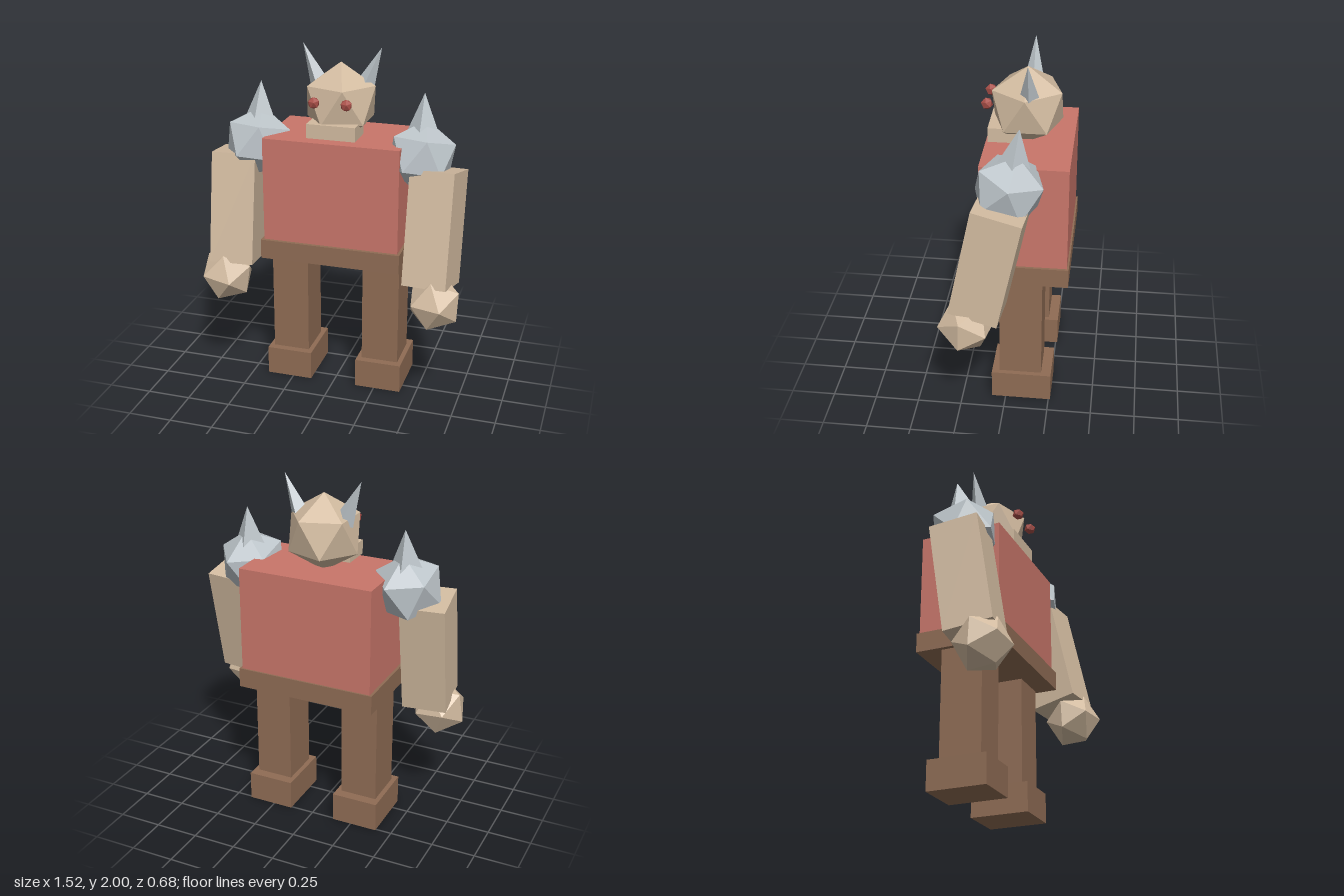
import * as THREE from 'three';

const paint = (name, color) => {
  const m = new THREE.MeshStandardMaterial({ color });
  m.name = name;
  return m;
};

// Orthonormal frame from a direction and a neighbouring direction
function frame(a, b) {
  const x = a.clone().normalize();
  const z = x.clone().cross(b).normalize();
  return new THREE.Matrix4().makeBasis(x, z.clone().cross(x), z);
}

export function createModel() {
  const model = new THREE.Group();
  const skin = paint('skin', 0xd2bba0);
  const red = paint('red tunic', 0xc9766a);
  const brown = paint('brown leather', 0x8f6c54);
  const steel = paint('steel', 0xbdc5ca);
  const eyeRed = paint('eye red', 0xa84e47);

  const add = (name, geometry, material, x, y, z) => {
    const mesh = new THREE.Mesh(geometry, material);
    mesh.name = name;
    mesh.position.set(x, y, z);
    model.add(mesh);
    return mesh;
  };
  const box = (name, material, size, pos) =>
    add(name, new THREE.BoxGeometry(...size), material, ...pos);

  // Icosahedron with one corner along v1 and an adjacent corner leaning to v2
  const rock = (name, material, r, pos, v1, v2) => {
    const t = (1 + Math.sqrt(5)) / 2;
    const from = frame(new THREE.Vector3(-1, t, 0), new THREE.Vector3(1, t, 0));
    const to = frame(new THREE.Vector3(...v1), new THREE.Vector3(...v2));
    const g = new THREE.IcosahedronGeometry(r, 0);
    g.applyMatrix4(to.multiply(from.transpose()));
    return add(name, g, material, ...pos);
  };

  // Four-sided faceted spike from its base centre to its tip
  const spike = (name, r, base, tip) => {
    const a = new THREE.Vector3(...base);
    const d = new THREE.Vector3(...tip).sub(a);
    const h = d.length();
    const g = new THREE.ConeGeometry(r, h, 4).toNonIndexed();
    g.computeVertexNormals();
    g.translate(0, h / 2, 0);
    const mesh = add(name, g, steel, ...base);
    mesh.quaternion.setFromUnitVectors(new THREE.Vector3(0, 1, 0), d.normalize());
  };

  // Body
  box('torso', red, [0.78, 0.61, 0.475], [0, 1.197, -0.098]);
  box('belt', brown, [0.81, 0.112, 0.505], [0, 0.848, -0.093]);

  // Head and jaw
  rock('head', skin, 0.22, [0, 1.69, -0.08], [0, 1, 0], [1, 0, 0]);
  box('jaw', skin, [0.276, 0.08, 0.17], [0, 1.562, 0.038]);

  for (const s of [-1, 1]) {
    const side = s > 0 ? 'left' : 'right';

    // Face details and horns
    rock(side + 'Eye', eyeRed, 0.034, [s * 0.091, 1.725, 0.13], [0, 1, 0.2], [1, 0, 0]);
    spike(side + 'Horn', 0.058, [s * 0.125, 1.765, -0.1], [s * 0.224, 1.998, -0.1]);

    // Legs and feet
    box(side + 'Leg', brown, [0.215, 0.64, 0.24], [s * 0.272, 0.478, -0.083]);
    box(side + 'Foot', brown, [0.27, 0.17, 0.34], [s * 0.272, 0.085, -0.09]);

    // Shoulder armour
    rock(side + 'ShoulderGuard', steel, 0.2, [s * 0.474, 1.43, -0.03],
      [0.92, 0.38, -0.08], [0.25, 0.18, -0.95]);
    spike(side + 'ShoulderSpike', 0.1, [s * 0.472, 1.53, -0.05], [s * 0.47, 1.77, -0.085]);

    // Arms hang forward, the left one swung a little further
    const swing = s > 0 ? 0.21 : 0.15;
    const arm = box(side + 'Arm', skin, [0.25, 0.64, 0.272],
      [s * 0.58, 1.06, -0.005 + 0.32 * swing]);
    arm.rotation.set(-swing, -s * 0.1, 0);
  }

  // Fists
  rock('leftFist', skin, 0.16, [0.617, 0.667, 0.185], [0.35, 0.03, 0.93], [0.85, 0.5, 0.1]);
  rock('rightFist', skin, 0.16, [-0.62, 0.665, 0.15], [0.05, 0.85, 0.5], [0.9, 0.4, 0.1]);

  return model;
}
